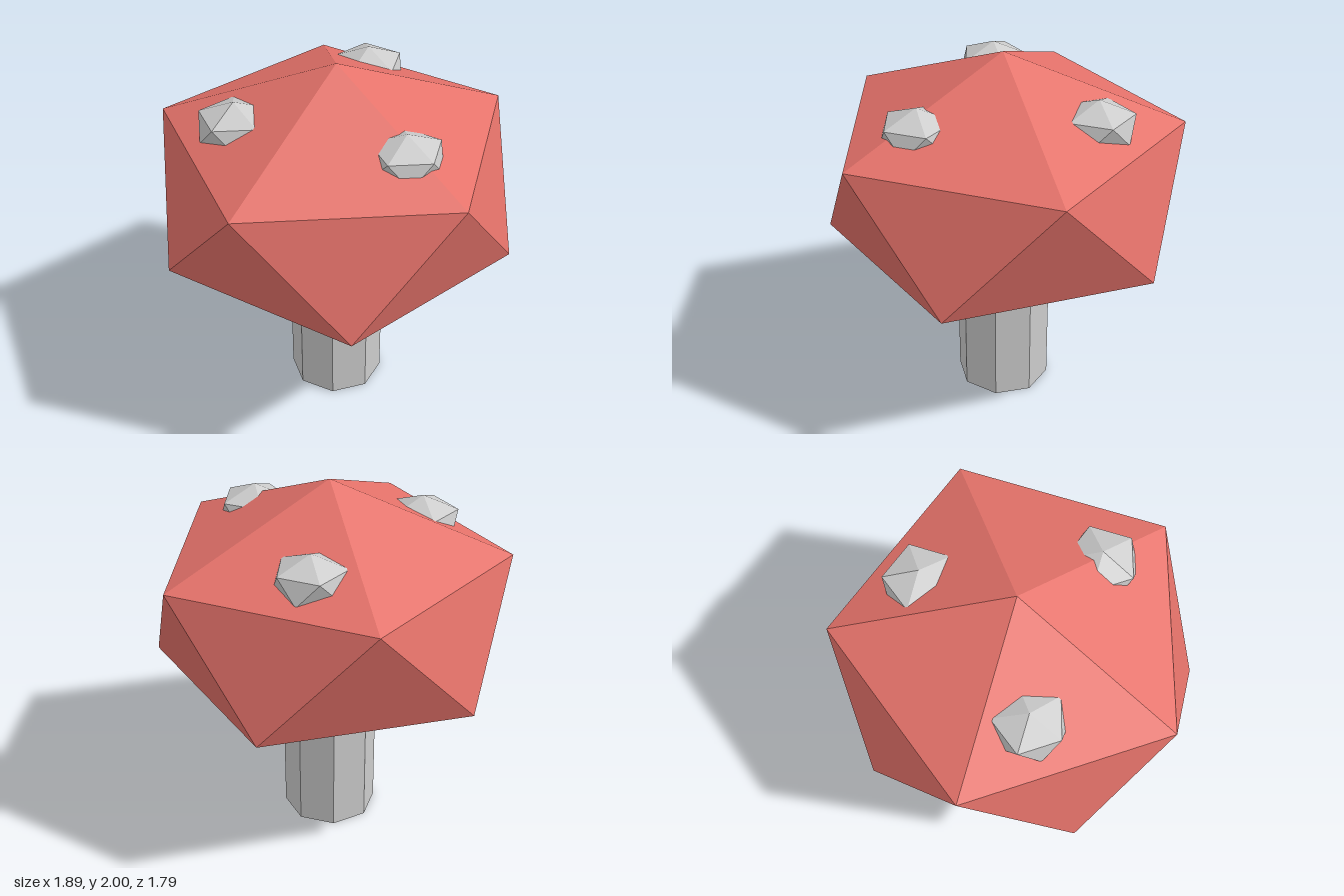
import * as THREE from 'three';

const grey = new THREE.MeshStandardMaterial({ color: 0xcccccc, flatShading: true });
const red = new THREE.MeshStandardMaterial({ color: 0xe5726a, flatShading: true });

// Icosahedron standing on a corner, upper ring starting at +x, squashed in y
function uprightIcosahedron(radius, halfHeight) {
  const geometry = new THREE.IcosahedronGeometry(1, 0);
  geometry.rotateZ(-Math.atan(2 / (1 + Math.sqrt(5))));
  geometry.scale(radius, halfHeight, radius);
  geometry.computeVertexNormals();
  return geometry;
}

export function createModel() {
  const model = new THREE.Group();
  model.name = 'mushroom';

  const add = (name, geometry, material, x, y, z) => {
    const mesh = new THREE.Mesh(geometry, material);
    mesh.name = name;
    mesh.position.set(x, y, z);
    model.add(mesh);
  };

  // Eight-sided stem reaching into the cap
  add('stem', new THREE.CylinderGeometry(0.257, 0.257, 1, 8), grey, 0, 0.5, 0);

  // Faceted cap
  add('cap', uprightIcosahedron(1.055, 0.705), red, 0, 1.295, 0);

  // Three spots half sunk into the cap, all facing the same way
  const spotGeometry = uprightIcosahedron(0.208, 0.136);
  for (let i = 0; i < 3; i++) {
    const angle = (i * Math.PI * 2) / 3;
    add(`spot${i + 1}`, spotGeometry, grey, 0.52 * Math.cos(angle), 1.7, 0.52 * Math.sin(angle));
  }

  return model;
}
